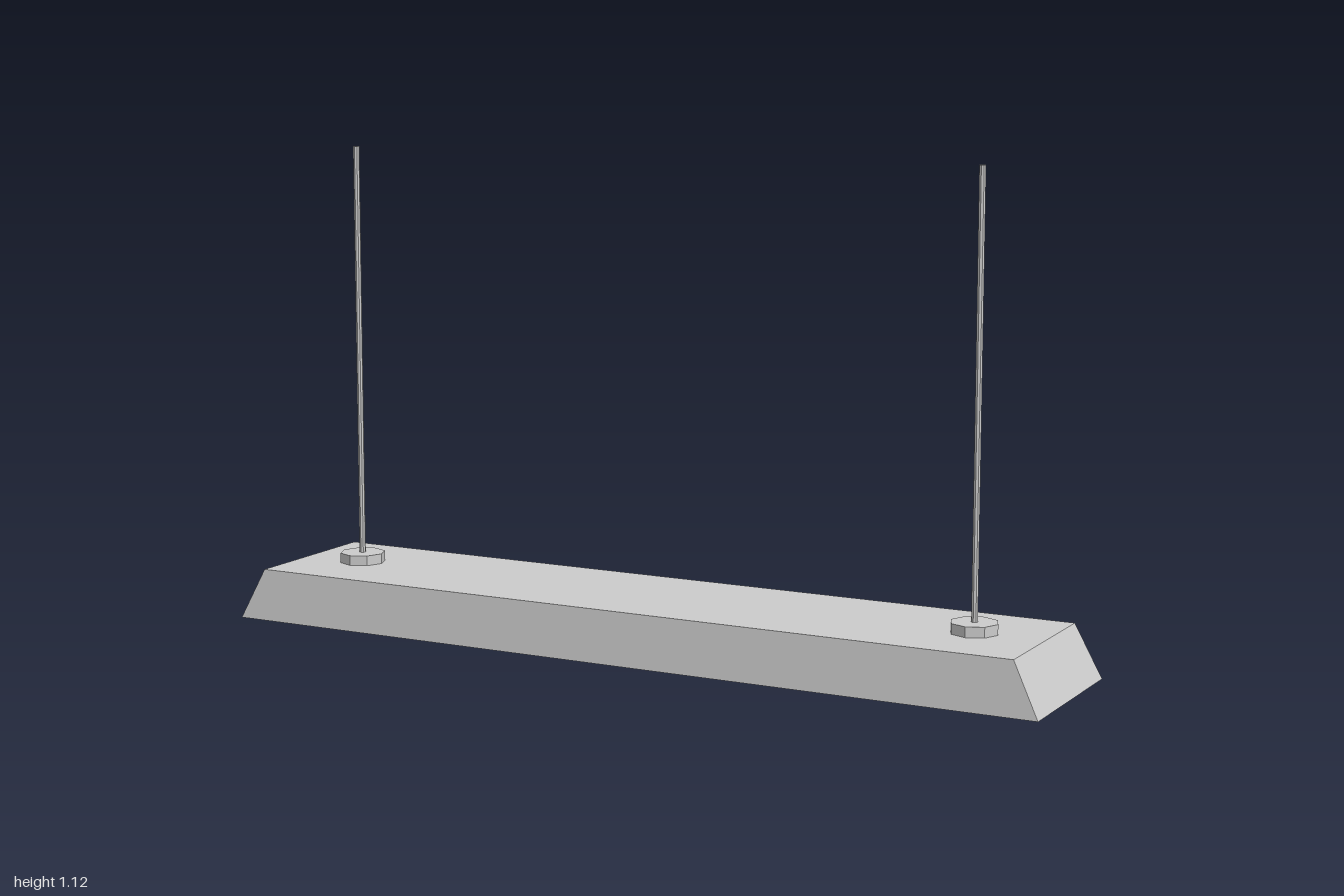
import * as THREE from 'three';

const material = new THREE.MeshStandardMaterial({ color: 0xcccccc });
const flat = new THREE.MeshStandardMaterial({ color: 0xcccccc, flatShading: true });

function add(parent, name, geometry, mat, x = 0, y = 0, z = 0) {
  const mesh = new THREE.Mesh(geometry, mat);
  mesh.name = name;
  mesh.position.set(x, y, z);
  parent.add(mesh);
  return mesh;
}

// Hollow tapered tray: rectangular rings run down the outside and up the inside
function housingGeometry() {
  const rings = [[0.94, 0.12, 0.187], [1, 0, 0.2], [0.988, 0, 0.19], [0.93, 0.11, 0.177]]
    .map(([x, y, z]) => [[1, 1], [1, -1], [-1, -1], [-1, 1]].map(([a, b]) => [a * x, y, b * z]));
  const positions = [];
  const quad = (a, b, c, d) => positions.push(...a, ...b, ...c, ...a, ...c, ...d);
  quad(...rings[0]);
  for (let k = 0; k < 3; k++) {
    for (let i = 0; i < 4; i++) {
      const j = (i + 1) % 4;
      quad(rings[k + 1][i], rings[k + 1][j], rings[k][j], rings[k][i]);
    }
  }
  quad(...[...rings[3]].reverse());
  const geometry = new THREE.BufferGeometry();
  geometry.setAttribute('position', new THREE.Float32BufferAttribute(positions, 3));
  geometry.computeVertexNormals();
  return geometry;
}

// Round-topped lamp holder plate, extruded along x
function holderGeometry() {
  const r = 0.038;
  const shape = new THREE.Shape();
  shape.moveTo(-r, -0.035);
  shape.lineTo(r, -0.035);
  shape.lineTo(r, 0);
  shape.absarc(0, 0, r, 0, Math.PI);
  shape.closePath();
  return new THREE.ExtrudeGeometry(shape, { depth: 0.04, bevelEnabled: false, curveSegments: 8 })
    .translate(0, 0, -0.02).rotateY(Math.PI / 2);
}

export function createModel() {
  const model = new THREE.Group();
  model.name = 'hangingTubeLight';
  add(model, 'housing', housingGeometry(), material);

  // Fluorescent tubes with a holder at each end
  const tube = new THREE.CylinderGeometry(0.031, 0.031, 1.84, 20).rotateZ(Math.PI / 2);
  const holder = holderGeometry();
  const foot = new THREE.BoxGeometry(0.07, 0.022, 0.095);
  for (const z of [-0.105, 0.105]) {
    add(model, 'lampTube', tube, material, 0, 0.055, z);
    for (const side of [-1, 1]) {
      add(model, 'lampHolder', holder, material, side * 0.922, 0.055, z);
      add(model, 'lampHolderFoot', foot, material, side * 0.935, 0.025, z);
    }
  }

  // Suspension rods on octagonal mounts
  const mount = new THREE.CylinderGeometry(0.054, 0.054, 0.025, 8);
  const rod = new THREE.CylinderGeometry(0.0075, 0.0075, 0.975, 8);
  for (const x of [-0.787, 0.781]) {
    add(model, 'rodMount', mount, flat, x, 0.131, 0);
    add(model, 'suspensionRod', rod, flat, x, 0.6275, 0);
  }
  return model;
}
